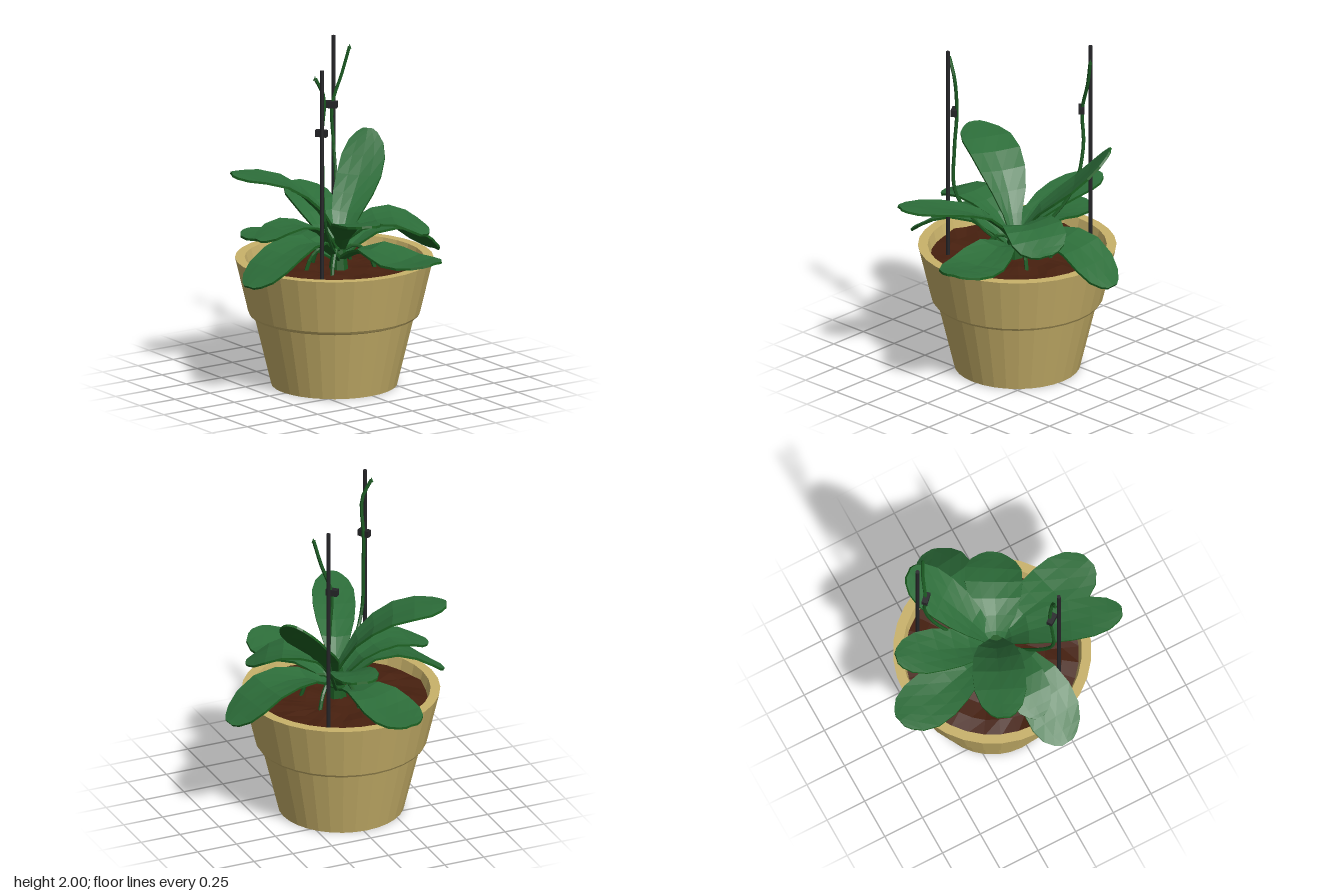
import * as THREE from 'three';

const mat = (name, color) => Object.assign(new THREE.MeshStandardMaterial({ color }), { name });
const V = (p) => new THREE.Vector3(...p);

// Faceted look: split the faces and give each its own normal
function flat(geometry) {
  const g = geometry.index ? geometry.toNonIndexed() : geometry;
  g.computeVertexNormals();
  return g;
}

// Leaf width along its length, as [position, share of the full width]
const WIDTHS = [[0, 0.22], [0.14, 0.38], [0.3, 0.68], [0.46, 0.9], [0.62, 1], [0.78, 0.98], [0.9, 0.78], [0.97, 0.48], [1, 0.24]];

// Thin solid leaf swept along a spine: group 0 is the upper face, group 1 the underside
function leafGeometry({ path, half, roll = 0, fold = 0.35 }) {
  const curve = new THREE.CatmullRomCurve3(path.map(V));
  const up = V([0, 1, 0]);
  const cols = 5, ring = cols * 2, thick = 0.014;
  const ends = V(path[path.length - 1]).sub(V(path[0]));
  const side = ends.setY(0).normalize().cross(up);
  const pos = [];
  for (const [t, w] of WIDTHS) {
    const c = curve.getPointAt(t);
    const normal = side.clone().cross(curve.getTangentAt(t)).normalize();
    const across = side.clone().addScaledVector(normal, roll * t).normalize();
    const cup = fold * (1 - 1.25 * t);
    for (let k = 0; k < ring; k++) {
      const j = k < cols ? k : ring - 1 - k;
      const s = (j / (cols - 1)) * 2 - 1;
      const lift = cup * half * w * Math.abs(s) ** 1.3 - (k < cols ? 0 : thick);
      const p = c.clone().addScaledVector(across, s * half * w).addScaledVector(normal, lift);
      pos.push(p.x, p.y, p.z);
    }
  }
  const top = [], under = [];
  const rows = WIDTHS.length;
  for (let i = 0; i < rows - 1; i++) {
    for (let k = 0; k < ring; k++) {
      const a = i * ring + k, b = i * ring + ((k + 1) % ring);
      (k < cols - 1 ? top : under).push(a, b, b + ring, a, b + ring, a + ring);
    }
  }
  const last = (rows - 1) * ring;
  for (let k = 1; k < ring - 1; k++) under.push(last, last + k, last + k + 1);
  const g = new THREE.BufferGeometry();
  g.setAttribute('position', new THREE.Float32BufferAttribute(pos, 3));
  g.setIndex([...top, ...under]);
  const out = flat(g);
  out.clearGroups();
  out.addGroup(0, top.length, 0);
  out.addGroup(top.length, under.length, 1);
  return out;
}

const LEAVES = [
  { name: 'backLowLeaf', half: 0.165, path: [[-0.02, 0.76, -0.03], [-0.08, 0.83, -0.25], [-0.13, 0.81, -0.48], [-0.165, 0.81, -0.72]] },
  { name: 'backLeaf', half: 0.135, path: [[-0.01, 0.78, -0.02], [0.0, 0.91, -0.14], [0.05, 1.03, -0.36], [0.1, 1.09, -0.6]] },
  { name: 'tallLeaf', half: 0.135, path: [[0, 0.8, 0], [0.1, 0.98, -0.08], [0.27, 1.17, -0.2], [0.43, 1.41, -0.34]] },
  { name: 'leftLowLeaf', half: 0.165, path: [[0, 0.76, 0], [0.2, 0.88, -0.04], [0.45, 0.88, -0.06], [0.72, 0.71, -0.07]] },
  { name: 'leftFrontLeaf', half: 0.17, roll: -0.15, path: [[-0.01, 0.82, 0], [0.1, 0.95, 0.06], [0.28, 1.0, 0.14], [0.47, 0.92, 0.24]] },
  { name: 'frontLowLeaf', half: 0.175, path: [[0, 0.77, 0.03], [0.06, 0.85, 0.2], [0.12, 0.82, 0.45], [0.18, 0.865, 0.72]] },
  { name: 'frontLeaf', half: 0.125, path: [[-0.01, 0.82, 0.02], [-0.07, 0.97, 0.15], [-0.17, 1.08, 0.4], [-0.28, 1.15, 0.69]] },
  { name: 'rightLowLeaf', half: 0.165, path: [[-0.03, 0.77, 0.01], [-0.25, 0.91, 0.06], [-0.47, 0.87, 0.09], [-0.72, 0.72, 0.1]] },
  { name: 'rightLeaf', half: 0.13, path: [[-0.02, 0.8, 0], [-0.16, 0.95, 0], [-0.37, 1.02, 0], [-0.58, 0.96, -0.01]] },
  { name: 'rightBackLeaf', half: 0.155, path: [[0, 0.85, 0.01], [-0.13, 1.08, -0.06], [-0.33, 1.25, -0.15], [-0.59, 1.31, -0.26]] },
];

// Stakes, each with its flower stem and the clip that ties them
const SPIKES = [
  {
    stake: [-0.305, 0.26], top: 2.0, clip: [-0.285, 1.61, 0.225], turn: 0.6,
    path: [[-0.03, 0.76, 0.03], [-0.15, 0.88, 0.13], [-0.27, 1.1, 0.23], [-0.28, 1.38, 0.23], [-0.275, 1.6, 0.215], [-0.275, 1.83, 0.235], [-0.33, 1.95, 0.223]],
  },
  {
    stake: [0.225, -0.395], top: 1.99, clip: [0.185, 1.585, -0.36], turn: 0.8,
    path: [[0.01, 0.76, -0.03], [0.08, 0.87, -0.15], [0.18, 1.1, -0.3], [0.2, 1.35, -0.36], [0.19, 1.58, -0.36], [0.25, 1.77, -0.345], [0.29, 1.93, -0.325]],
  },
];

export function createModel() {
  const clay = mat('pot clay', 0xc9b26a);
  const earth = mat('soil brown', 0x47200f);
  const leafTop = mat('leaf green', 0x2d6e3a);
  const leafUnder = mat('leaf underside green', 0x1d6222);
  const stemGreen = mat('stem green', 0x1b5a22);
  const black = mat('stake black', 0x252528);

  const model = new THREE.Group();
  model.name = 'pottedPlant';
  const add = (name, geometry, material, position = [0, 0, 0]) => {
    const mesh = new THREE.Mesh(geometry, material);
    mesh.name = name;
    mesh.position.set(...position);
    model.add(mesh);
    return mesh;
  };

  // Pot with a collar and an open top
  const profile = [[0, 0], [0.37, 0], [0.47, 0.415], [0.495, 0.425], [0.505, 0.44], [0.582, 0.765], [0.525, 0.765], [0.495, 0.64]];
  const potGeometry = new THREE.LatheGeometry(profile.map((p) => new THREE.Vector2(...p)), 32);
  add('pot', flat(potGeometry), clay, [-0.02, 0, -0.03]);

  // Slightly uneven soil
  const soil = new THREE.RingGeometry(0.001, 0.515, 32, 5).rotateX(-Math.PI / 2);
  const sp = soil.attributes.position;
  for (let i = 0; i < sp.count; i++) {
    const x = sp.getX(i), z = sp.getZ(i);
    sp.setY(i, 0.012 * Math.sin(x * 23 + 1) * Math.cos(z * 19));
  }
  add('soil', flat(soil), earth, [-0.02, 0.7, -0.03]);

  // Leaves
  for (const leaf of LEAVES) add(leaf.name, leafGeometry(leaf), [leafTop, leafUnder]);

  // Crown the leaves grow from
  add('crown', flat(new THREE.CylinderGeometry(0.035, 0.06, 0.2, 8)), stemGreen, [-0.01, 0.78, 0]);

  // Stakes, stems and clips
  for (const { stake: [x, z], top, clip, turn, path } of SPIKES) {
    const height = top - 0.68;
    add('stake', flat(new THREE.CylinderGeometry(0.012, 0.012, height, 8)), black, [x, 0.68 + height / 2, z]);
    const curve = new THREE.CatmullRomCurve3(path.map(V));
    add('flowerStem', flat(new THREE.TubeGeometry(curve, 24, 0.0105, 6)), stemGreen);
    add('stemTip', flat(new THREE.ConeGeometry(0.0105, 0.03, 6)), stemGreen, path[path.length - 1]);
    add('clip', new THREE.BoxGeometry(0.035, 0.04, 0.07), black, clip).rotation.y = turn;
  }

  // Short roots arching from the crown into the soil
  for (const angle of [0.5, 2.4, 3.5, 4.4, 5.6]) {
    const c = Math.cos(angle), s = Math.sin(angle);
    const curve = new THREE.CatmullRomCurve3([[0, 0.8], [0.09, 0.84], [0.17, 0.78], [0.21, 0.68]].map(([r, y]) => V([r * c, y, r * s])));
    add('root', flat(new THREE.TubeGeometry(curve, 8, 0.012, 6)), stemGreen);
  }
  return model;
}
